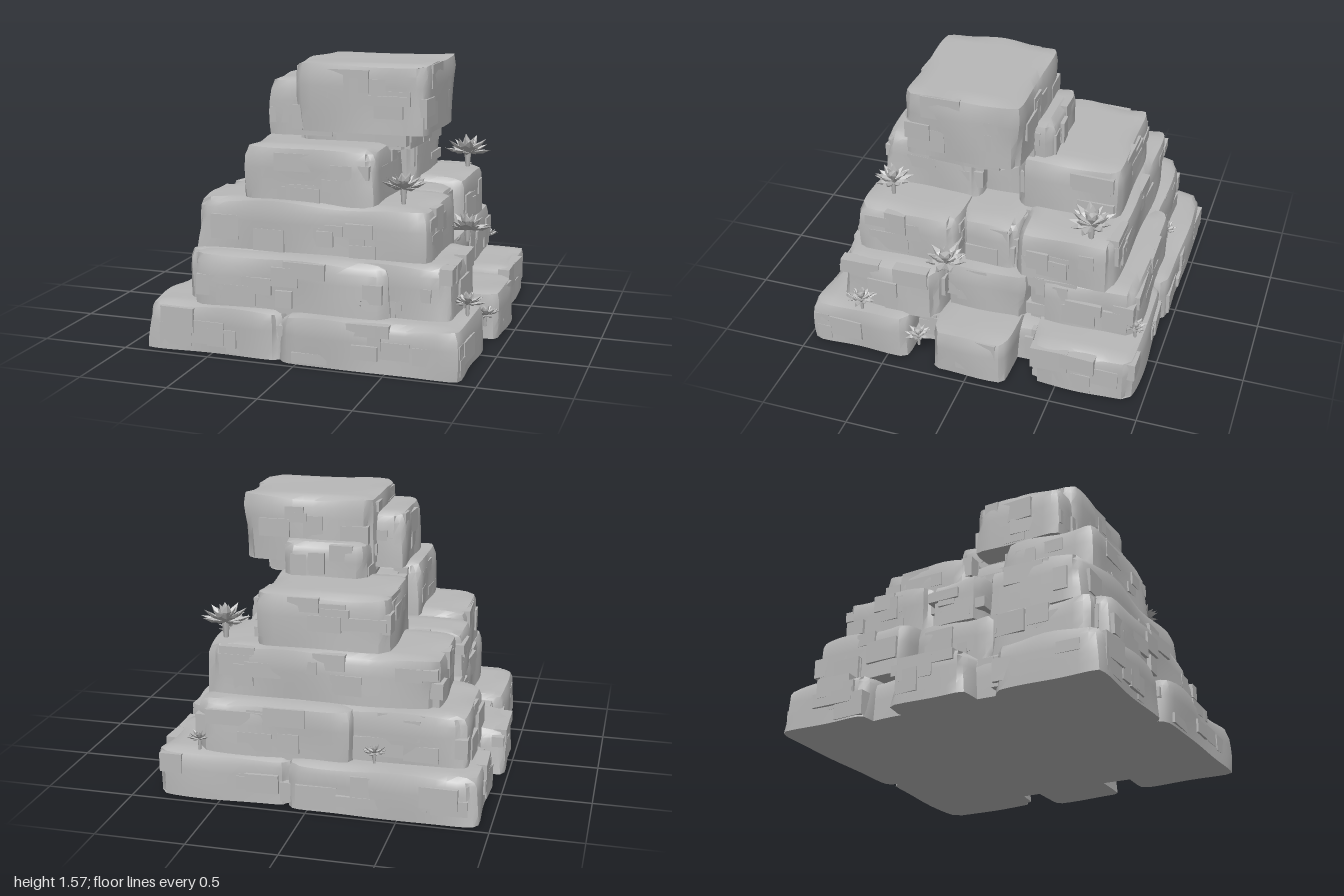
import * as THREE from 'three';
import { mergeGeometries, toCreasedNormals } from 'three/addons/utils/BufferGeometryUtils.js';

const stone = new THREE.MeshStandardMaterial({ color: 0xb8b8b8, side: THREE.DoubleSide });
stone.name = 'pale grey stone';

// Seeded random numbers
let seed = 7;
const rand = (a = 0, b = 1) => {
  seed = (seed * 16807) % 2147483647;
  return a + (b - a) * (seed / 2147483647);
};

// Smooth bumps between 0 and 1
const bump = (x, y, z, k) =>
  0.5 + 0.25 * Math.sin(9 * x + 5 * y + k) + 0.25 * Math.sin(13 * z - 8 * y + 6 * x + 2.3 * k);

// Weathered block: worn inward from its bounds, with flush chips on its sides
function block(name, x0, x1, y0, y1, z0, z1, wear = 0.03) {
  const size = [x1 - x0, y1 - y0, z1 - z0];
  const centre = [(x0 + x1) / 2, (y0 + y1) / 2, (z0 + z1) / 2];
  const half = size.map(s => s / 2);
  const k = rand(0, 20);
  const body = new THREE.BoxGeometry(...size, ...size.map(s => Math.max(4, Math.round(s / 0.06))));
  const p = body.attributes.position;
  for (let i = 0; i < p.count; i++) {
    const v = [p.getX(i), p.getY(i), p.getZ(i)];
    const near = v.map((c, a) => Math.abs(c) / half[a]);
    const b = bump(v[0], v[1], v[2], k);
    // vertical corners are rounded off, top edges are chipped
    const corner = Math.pow(near[0] * near[2], 10);
    const rim = v[1] > 0 ? Math.pow(near[1], 8) * 0.012 : 0;
    const side = wear * b * 0.8 + corner * (0.012 + 0.03 * b) + rim;
    const out = v.slice();
    out[0] -= Math.sign(v[0]) * side * Math.pow(near[0], 6);
    out[2] -= Math.sign(v[2]) * side * Math.pow(near[2], 6);
    const edge = Math.max(Math.pow(near[0], 12), Math.pow(near[2], 12));
    if (v[1] > 0) out[1] -= Math.pow(near[1], 8) * (0.004 * b + edge * 0.03 * b);
    p.setXYZ(i, ...out);
  }
  const parts = [toCreasedNormals(body, 0.6)];

  // Squared chips, their outer faces at the bounds of the block
  for (const axis of [0, 2]) {
    const across = 2 - axis;
    for (const s of [-1, 1]) {
      const count = Math.round(size[across] * 8);
      for (let i = 0; i < count; i++) {
        const w = Math.min(rand(0.08, 0.26), size[across] * 0.5);
        const h = Math.min(rand(0.05, 0.14), size[1] * 0.6);
        const depth = 0.07;
        const dims = [depth, h, depth], pos = [0, 0, 0];
        dims[across] = w;
        pos[axis] = s * (half[axis] - depth / 2 - rand(0, wear * 0.6));
        pos[across] = rand(-1, 1) * (half[across] - w / 2 - 0.02);
        pos[1] = rand(-1, 1) * (half[1] - h / 2 - 0.006);
        const chip = new THREE.BoxGeometry(...dims);
        const tilt = rand(-0.06, 0.06);
        if (axis === 0) chip.rotateY(tilt); else chip.rotateY(-tilt);
        chip.translate(...pos);
        parts.push(chip.toNonIndexed());
      }
    }
  }
  const mesh = new THREE.Mesh(mergeGeometries(parts), stone);
  mesh.position.set(...centre);
  mesh.name = name;
  return mesh;
}

// Folded pointed leaf, rooted at the origin and reaching along +x
function leaf(length, width, lift, turn) {
  const c = Math.cos(lift), s = Math.sin(lift);
  const at = (d, side, up) => [d * c - up * s, d * s + up * c, side];
  const root = at(0, 0, 0), tip = at(length, 0, 0.02 * length);
  const keel = at(length * 0.6, 0, -0.1 * length);
  const l = at(length * 0.55, width, 0.04 * length), r = at(length * 0.55, -width, 0.04 * length);
  const tris = [root, l, keel, root, keel, r, l, tip, keel, keel, tip, r];
  const g = new THREE.BufferGeometry();
  g.setAttribute('position', new THREE.Float32BufferAttribute(tris.flat(), 3));
  g.computeVertexNormals();
  return g.rotateY(turn);
}

// Rosette plant of three rings of leaves on a short stem
function rosette(x, y, z, radius, height) {
  const leaves = [];
  [[9, 0.25, 1], [8, 0.6, 0.95], [5, 1.1, 0.8]].forEach(([count, lift, reach], ring) => {
    for (let i = 0; i < count; i++) {
      const turn = (i / count) * Math.PI * 2 + ring * 0.4 + rand(-0.15, 0.15);
      leaves.push(leaf(radius * reach * rand(0.9, 1.1), radius * 0.2, lift + rand(-0.12, 0.12), turn));
    }
  });
  const plant = new THREE.Group();
  const crown = new THREE.Mesh(mergeGeometries(leaves), stone);
  crown.name = 'leaves';
  crown.position.y = height * 0.4;
  const stem = new THREE.Mesh(new THREE.CylinderGeometry(radius * 0.16, radius * 0.1, height * 0.45, 6), stone);
  stem.name = 'stem';
  stem.position.y = height * 0.2;
  plant.add(crown, stem);
  plant.position.set(x, y, z);
  plant.name = 'rosettePlant';
  return plant;
}

export function createModel() {
  const model = new THREE.Group();
  model.name = 'steppedRocks';

  // Blocks by tier: name, x range, y range, z range
  const blocks = [
    ['baseCore', -0.84, 0.72, 0, 0.24, -0.84, 0.86],
    ['baseMiddle', -0.98, 0.95, 0, 0.27, -0.25, 0.24],
    ['baseBackLeft', -0.94, 0.12, 0, 0.27, -0.98, -0.4],
    ['baseBackRight', 0.08, 0.89, 0, 0.27, -0.95, -0.32],
    ['baseFrontLeft', -0.9, -0.08, 0, 0.27, 0.32, 0.95],
    ['baseFrontRight', -0.12, 0.91, 0, 0.27, 0.36, 0.98],
    ['secondMiddle', -0.72, 0.68, 0.25, 0.55, -0.28, 0.26],
    ['secondBack', -0.86, 0.64, 0.25, 0.56, -0.84, -0.21],
    ['secondBackLedge', -0.24, 0.66, 0.25, 0.56, -0.9, -0.3],
    ['secondFront', -0.7, 0.83, 0.25, 0.56, 0.2, 0.83],
    ['secondFrontLedge', -0.64, 0.5, 0.25, 0.56, 0.4, 0.9],
    ['thirdMiddle', -0.72, 0.6, 0.54, 0.82, -0.2, 0.18],
    ['thirdBack', -0.7, 0.65, 0.54, 0.84, -0.77, -0.16],
    ['thirdFront', -0.68, 0.68, 0.54, 0.84, 0.14, 0.76],
    ['fourthMiddle', -0.3, 0.26, 0.82, 1.1, -0.2, 0.2],
    ['fourthBack', -0.4, 0.37, 0.82, 1.14, -0.71, -0.09],
    ['fourthFront', -0.41, 0.37, 0.82, 1.14, 0.1, 0.71],
    ['capFoot', -0.18, 0.49, 1.1, 1.24, -0.11, 0.44],
    ['capBackLedge', -0.18, 0.32, 1.12, 1.33, -0.32, 0],
    ['capSide', -0.35, 0.1, 1.16, 1.48, -0.1, 0.47],
    ['cap', -0.2, 0.59, 1.19, 1.575, -0.21, 0.49],
  ];
  for (const b of blocks) model.add(block(...b));

  // Plants growing on the ledges: x, y, z, radius, height
  const plants = [
    [0.56, 0.84, -0.6, 0.14, 0.2],
    [0.49, 0.84, 0.59, 0.12, 0.2],
    [0.75, 0.56, 0.18, 0.13, 0.15],
    [0.87, 0.27, 0.66, 0.09, 0.16],
    [0.89, 0.11, 0.31, 0.08, 0.15],
    [0.63, 0.27, -0.89, 0.07, 0.15],
    [0.33, 0.27, 0.84, 0.07, 0.14],
    [-0.35, 0.27, -0.85, 0.07, 0.14],
  ];
  for (const p of plants) model.add(rosette(...p));
  return model;
}
